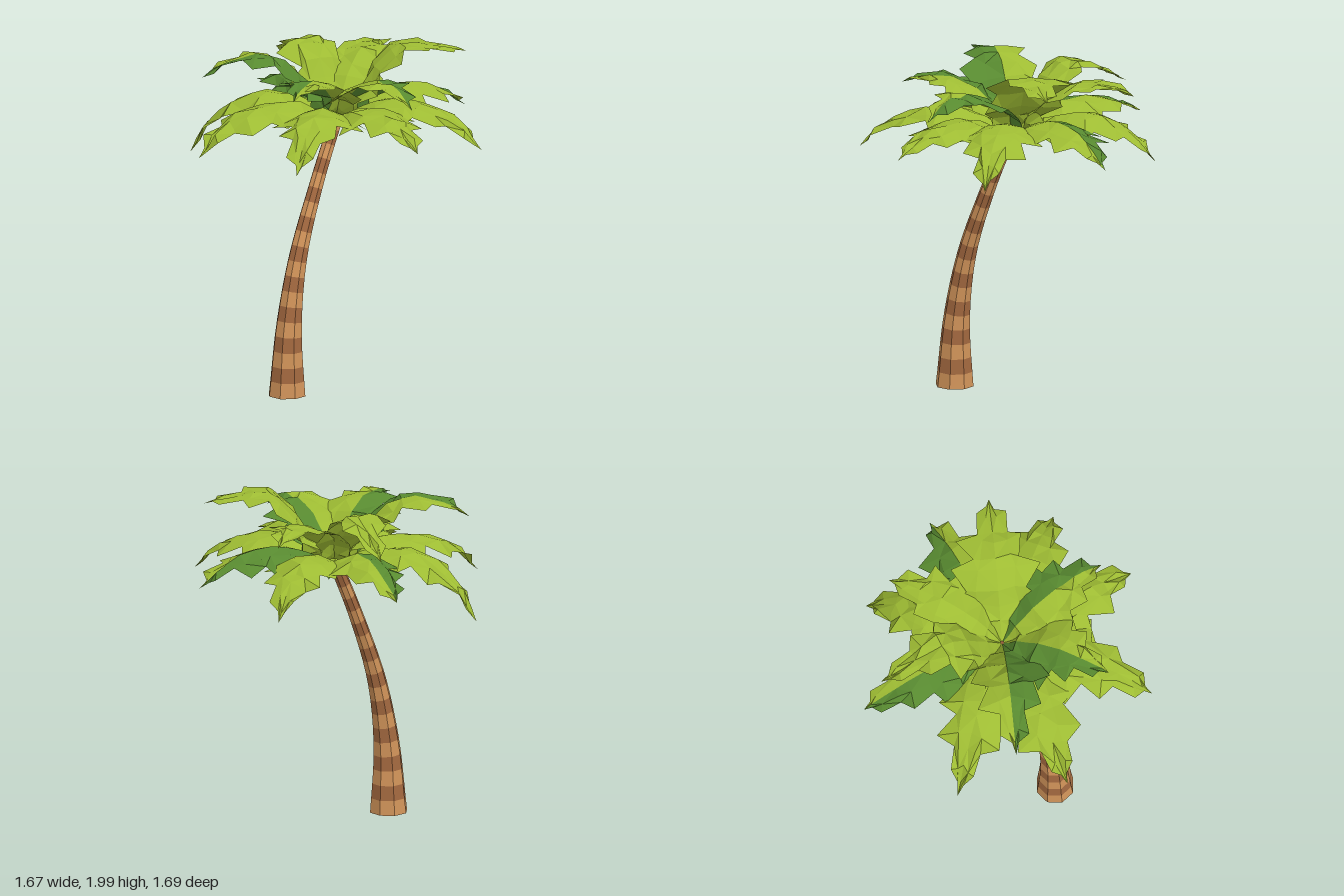
import * as THREE from 'three';

const material = (name, color, side = THREE.FrontSide) => {
  const m = new THREE.MeshStandardMaterial({ color, flatShading: true, side });
  m.name = name;
  return m;
};

// Repeatable noise in -1..1
const noise = (a, b, c) => {
  const v = Math.sin(a * 127.1 + b * 311.7 + c * 74.7) * 43758.5453;
  return (v - Math.floor(v)) * 2 - 1;
};

const makeGeometry = (positions) => {
  const g = new THREE.BufferGeometry();
  g.setAttribute('position', new THREE.Float32BufferAttribute(positions, 3));
  g.computeVertexNormals();
  return g;
};

// Leaning, tapering eight-sided trunk with alternating bands
function makeTrunk(light, dark) {
  const SIDES = 8, BANDS = 19;
  const path = new THREE.CatmullRomCurve3([
    [-0.425, 0], [-0.41, 0.4], [-0.335, 0.8], [-0.185, 1.2], [-0.01, 1.58],
  ].map(([x, y]) => new THREE.Vector3(x, y, 0.012)));
  const radius = (t) => 0.039 + 0.073 * Math.pow(1 - t, 2.2);
  const rings = [];
  for (let i = 0; i <= BANDS; i++) {
    const t = i / BANDS, c = path.getPointAt(t), tan = path.getTangentAt(t);
    if (i === 0) tan.set(0, 1, 0);
    const across = new THREE.Vector3(tan.y, -tan.x, 0).normalize();
    rings.push(Array.from({ length: SIDES }, (_, k) => {
      const a = (k + 0.5) / SIDES * Math.PI * 2, r = radius(t);
      return c.clone().addScaledVector(across, Math.cos(a) * r)
        .add(new THREE.Vector3(0, 0, Math.sin(a) * r));
    }));
  }
  const pos = [], push = (...ps) => ps.forEach((p) => pos.push(p.x, p.y, p.z));
  for (let i = 0; i < BANDS; i++) {
    for (let k = 0; k < SIDES; k++) {
      const n = (k + 1) % SIDES, lo = rings[i], hi = rings[i + 1];
      push(lo[k], hi[k], lo[n], lo[n], hi[k], hi[n]);
    }
  }
  // End caps
  const top = rings[BANDS], base = rings[0];
  for (let k = 1; k < SIDES - 1; k++) push(base[0], base[k], base[k + 1]);
  for (let k = 1; k < SIDES - 1; k++) push(top[0], top[k + 1], top[k]);
  const g = makeGeometry(pos);
  for (let i = 0; i < BANDS; i++) g.addGroup(i * SIDES * 6, SIDES * 6, i % 2);
  g.addGroup(BANDS * SIDES * 6, (SIDES - 2) * 6, 1);
  const trunk = new THREE.Mesh(g, [light, dark]);
  trunk.name = 'trunk';
  return trunk;
}

// One half of a jagged, pointed frond, from the midrib to one edge
function frondHalf(curve, angle, width, droop, seed, sign) {
  const N = 11, d = new THREE.Vector3(Math.cos(angle), 0, Math.sin(angle));
  const p = new THREE.Vector3(-d.z, 0, d.x);
  const point = (i, v) => {
    const s = i / N, c = curve.getPoint(s);
    const tooth = i % 2 ? 1.05 : 0.66;
    const spread = 0.3 * (1 - s) ** 2 + Math.pow(Math.max(0, Math.sin(Math.PI * Math.pow(s, 0.74))), 1.3);
    const edge = Math.abs(v), inner = i > 0 && i < N ? 1 : 0;
    const w = i === N ? 0 : width * spread * (edge === 1 ? tooth : 0.85)
      * (1 + 0.16 * noise(seed, i, v));
    const forward = inner * (edge * (i % 2 ? 0.045 : 0) + 0.012 * noise(seed + 3, i, v));
    const drop = edge * edge * w * droop - inner * 0.014 * noise(seed + 7, i, v);
    return d.clone().multiplyScalar(c.x + forward)
      .addScaledVector(p, v * w).add(new THREE.Vector3(0, c.y - drop, 0));
  };
  const cols = sign > 0 ? [0, 0.5, 1] : [-1, -0.5, 0];
  const pos = [], push = (...ps) => ps.forEach((q) => pos.push(q.x, q.y, q.z));
  for (let i = 0; i < N; i++) {
    for (let j = 0; j < 2; j++) {
      const a = point(i, cols[j]), b = point(i, cols[j + 1]);
      const c = point(i + 1, cols[j]), e = point(i + 1, cols[j + 1]);
      if ((i + j) % 2) push(a, b, c, b, e, c);
      else push(a, b, e, a, e, c);
    }
  }
  return makeGeometry(pos);
}

function makeFrond(name, profile, degrees, width, droop, seed, darkSide, light, dark) {
  const curve = new THREE.SplineCurve(profile.map(([r, y]) => new THREE.Vector2(r, y)));
  const frond = new THREE.Group();
  frond.name = name;
  for (const sign of [-1, 1]) {
    const g = frondHalf(curve, degrees * Math.PI / 180, width, droop, seed, sign);
    const half = new THREE.Mesh(g, sign === darkSide ? dark : light);
    half.name = sign > 0 ? 'leafHalfA' : 'leafHalfB';
    frond.add(half);
  }
  return frond;
}

export function createModel() {
  const model = new THREE.Group();
  model.name = 'palmTree';
  const barkLight = material('light bark', 0xd09359);
  const barkDark = material('dark bark', 0xa2683f);
  const leafLight = material('light leaf', 0x9ebc33, THREE.DoubleSide);
  const leafDark = material('dark leaf', 0x588a30, THREE.DoubleSide);
  model.add(makeTrunk(barkLight, barkDark));

  // Lower drooping fronds: angle, reach, tip height, dark half
  [
    [15, 0.86, 1.52, -1], [63.7, 0.87, 1.44, 0], [103.5, 0.86, 1.54, 0], [151, 0.9, 1.45, 0],
    [199, 0.89, 1.43, 0], [241, 0.87, 1.3, 0], [287, 0.89, 1.56, -1], [333.5, 0.83, 1.43, 0],
  ].forEach(([angle, reach, tip, side], i) => {
    const sag = 1.52 - tip;
    const profile = [[0.02, 1.56], [0.22, 1.67], [0.46, 1.7 - sag * 0.1],
      [reach * 0.8, 1.64 - sag * 0.4], [reach, tip]];
    model.add(makeFrond('lowerFrond' + (i + 1), profile, angle, 0.22, 0.35, i + 1, side, leafLight, leafDark));
  });

  // Upper rising fronds: angle, reach, crest, shoulder and tip heights, width, edge droop, dark half
  [
    [38, 0.75, 1.975, 1.97, 1.93, 0.235, 0.1, 0], [98, 0.7, 1.85, 1.85, 1.75, 0.22, 0.15, -1],
    [158, 0.67, 1.86, 1.88, 1.82, 0.22, 0.15, 1], [218, 0.78, 1.93, 1.94, 1.83, 0.22, 0.15, -1],
    [290, 0.76, 1.95, 1.87, 1.77, 0.17, 0.2, 0], [338, 0.71, 1.87, 1.89, 1.83, 0.22, 0.05, 0],
  ].forEach(([angle, reach, crest, shoulder, tip, width, droop, side], i) => {
    const profile = [[0.01, 1.58], [0.14, 1.75], [0.34, crest], [reach * 0.74, shoulder], [reach, tip]];
    model.add(makeFrond('upperFrond' + (i + 1), profile, angle, width, droop, i + 21, side, leafLight, leafDark));
  });
  return model;
}
